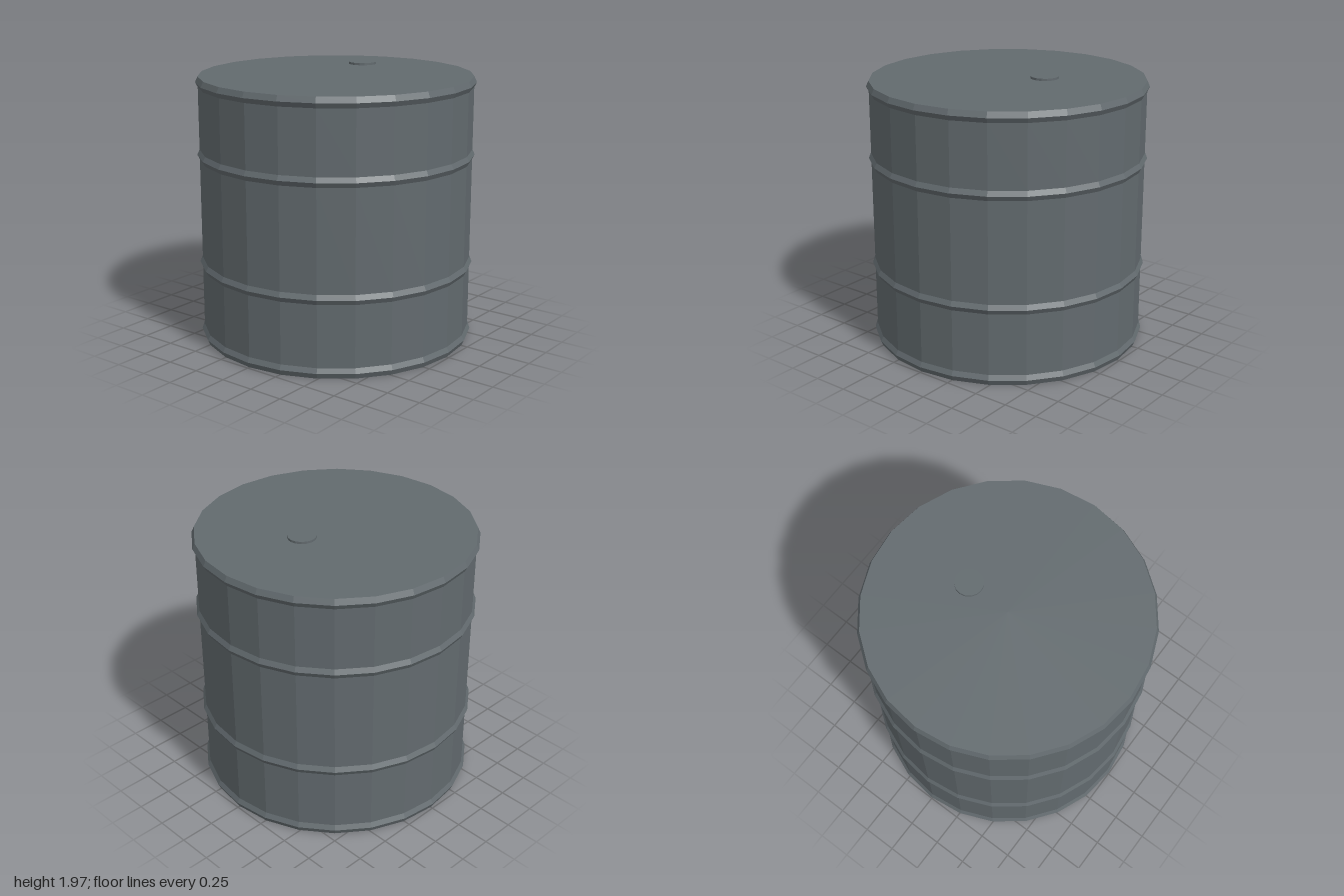
import * as THREE from 'three';

export function createModel() {
  const group = new THREE.Group();
  const steel = new THREE.MeshStandardMaterial({ color: 0x626a6e, flatShading: true });
  steel.name = 'dark grey steel';

  // Closed drum wall with four pointed hoops, as one 24-sided lathe
  const wall = 0.982, hoop = 1, height = 1.92;
  const profile = [[0, 0]];
  for (const y of [0.04, 0.56, 1.36, 1.88]) {
    profile.push([wall, y === 0.04 ? 0 : y - 0.035]);
    profile.push([hoop, y]);
    profile.push([wall, y === 1.88 ? height : y + 0.035]);
  }
  profile.push([0, height]);
  const drum = new THREE.Mesh(
    new THREE.LatheGeometry(profile.map(([r, y]) => new THREE.Vector2(r, y)), 24), steel);
  drum.name = 'drum';
  group.add(drum);

  // Thin bung cap held just above the lid
  const cap = new THREE.Mesh(new THREE.CylinderGeometry(0.1, 0.1, 0.016, 16), steel);
  cap.name = 'bungCap';
  cap.position.set(0.32, 1.965, 0);
  group.add(cap);

  return group;
}
